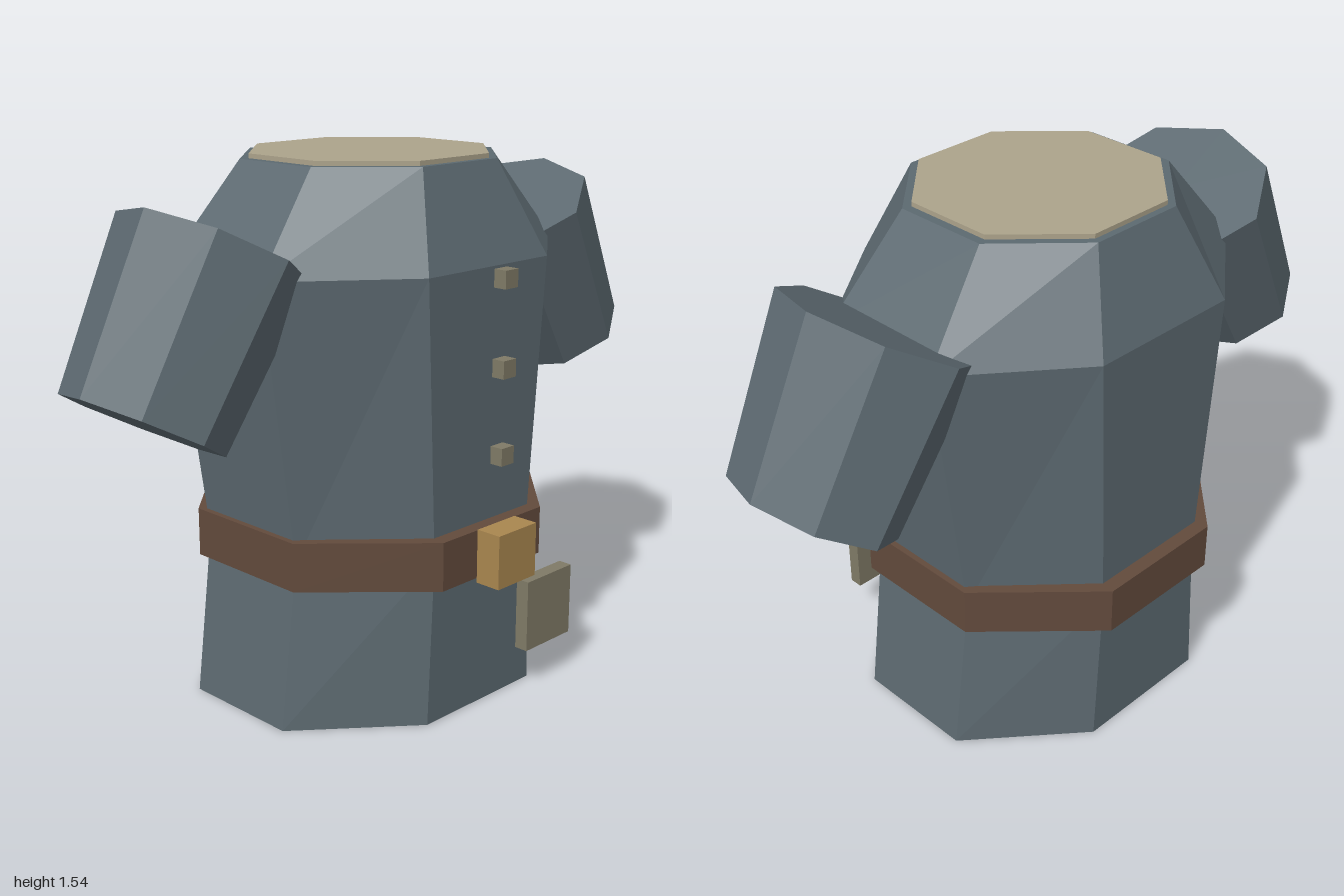
import * as THREE from 'three';

const CZ = -0.043; // depth centre of the torso

const mat = (name, color) => {
  const m = new THREE.MeshStandardMaterial({ color, flatShading: true });
  m.name = name;
  return m;
};

// Closed eight-sided loft; each ring is [y, half width, half depth] with flats facing front and sides
function octLoft(rings) {
  const pos = [];
  const k = 1 / Math.cos(Math.PI / 8);
  const pt = ([y, w, d], i) => {
    const a = Math.PI / 8 + (i * Math.PI) / 4;
    return [w * k * Math.sin(a), y, CZ + d * k * Math.cos(a)];
  };
  const tri = (a, b, c) => pos.push(...a, ...b, ...c);
  const first = rings[0], last = rings[rings.length - 1];
  for (let i = 0; i < 8; i++) {
    for (let j = 0; j < rings.length - 1; j++) {
      const a = pt(rings[j], i), b = pt(rings[j], i + 1);
      const c = pt(rings[j + 1], i + 1), d = pt(rings[j + 1], i);
      tri(a, b, c);
      tri(a, c, d);
    }
    tri([0, first[0], CZ], pt(first, i + 1), pt(first, i));
    tri([0, last[0], CZ], pt(last, i), pt(last, i + 1));
  }
  const g = new THREE.BufferGeometry();
  g.setAttribute('position', new THREE.Float32BufferAttribute(pos, 3));
  g.computeVertexNormals();
  return g;
}

export function createModel() {
  const group = new THREE.Group();
  const cloth = mat('slate cloth', 0x5c6970);
  const leather = mat('brown leather', 0x624a3c);
  const brass = mat('brass', 0xa9864f);
  const trim = mat('drab trim', 0x7f7a66);
  const linen = mat('pale linen', 0xaca38b);

  const add = (name, geometry, material, x = 0, y = 0, z = 0) => {
    const mesh = new THREE.Mesh(geometry, material);
    mesh.name = name;
    mesh.position.set(x, y, z);
    group.add(mesh);
    return mesh;
  };

  // Torso: hem, waist, chest, neck
  add('torso', octLoft([
    [0, 0.525, 0.442],
    [0.48, 0.465, 0.44],
    [1.265, 0.575, 0.453],
    [1.53, 0.355, 0.343],
  ]), cloth);

  // Neck lining and belt
  add('collar', octLoft([[1.52, 0.33, 0.323], [1.543, 0.33, 0.323]]), linen);
  add('belt', octLoft([[0.408, 0.492, 0.483], [0.548, 0.492, 0.483]]), leather);

  // Short sleeves, mirrored
  const sleeveGeo = new THREE.CylinderGeometry(0.295, 0.2525, 0.496, 8).scale(0.824, 1, 1);
  for (const s of [1, -1]) {
    const sleeve = add(s > 0 ? 'leftSleeve' : 'rightSleeve', sleeveGeo, cloth, s * 0.695, 1.119, CZ);
    sleeve.rotation.z = (s * Math.PI) / 6;
  }

  // Buckle, buttons and pocket
  add('buckle', new THREE.BoxGeometry(0.156, 0.155, 0.078), brass, 0, 0.478, 0.489);
  const buttonGeo = new THREE.BoxGeometry(0.05, 0.05, 0.04);
  [0.756, 0.999, 1.242].forEach((y, i) => add('button' + (i + 1), buttonGeo, trim, 0, y, 0.465));
  add('pocket', new THREE.BoxGeometry(0.198, 0.215, 0.042), trim, 0.255, 0.222, 0.423);

  return group;
}
